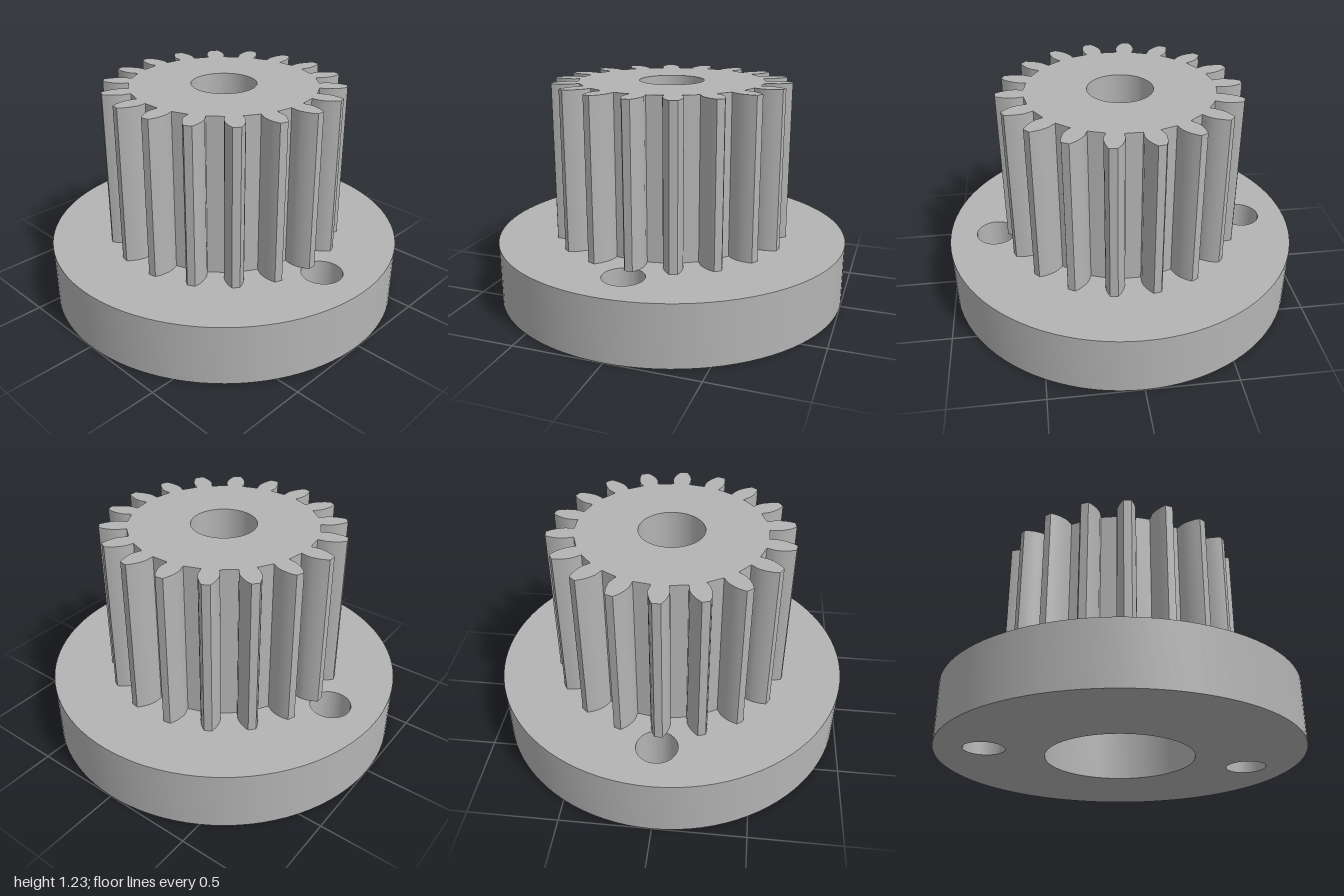
import * as THREE from 'three';
import { toCreasedNormals } from 'three/addons/utils/BufferGeometryUtils.js';

const FLANGE_TOP = 0.34, GEAR_TOP = 1.225, TEETH = 18;

// Half of one tooth, root to tip: [radius, half angle]
const FLANK = [[0.519, 0.086], [0.54, 0.09], [0.565, 0.094], [0.59, 0.087],
  [0.615, 0.074], [0.64, 0.057], [0.667, 0.032]];

function circle(x, y, r, Type = THREE.Path) {
  const path = new Type();
  path.absarc(x, y, r, 0, Math.PI * 2, false);
  return path;
}

// Extrude a plan upwards from y0 to y1, smooth on curves and sharp on edges
function upright(shape, y0, y1, name, material) {
  const flat = new THREE.ExtrudeGeometry(shape, { depth: y1 - y0, bevelEnabled: false, curveSegments: 48 });
  flat.rotateX(-Math.PI / 2).translate(0, y0, 0);
  const mesh = new THREE.Mesh(toCreasedNormals(flat, 0.4), material);
  mesh.name = name;
  return mesh;
}

export function createModel() {
  const group = new THREE.Group();
  group.name = 'flangedGear';
  const metal = new THREE.MeshStandardMaterial({ color: 0xb4b4b4 });
  metal.name = 'grey metal';

  // Round flange with a wide recess and two bolt holes
  const flange = circle(0, 0, 1, THREE.Shape);
  flange.holes.push(circle(0, 0, 0.41));
  for (const side of [-1, 1]) flange.holes.push(circle(side * 0.735, 0, 0.112));
  group.add(upright(flange, 0, FLANGE_TOP, 'flange', metal));

  // Spur gear: each tooth goes up one flank and down the other
  const points = [];
  for (let i = 0; i < TEETH; i++) {
    const mid = (i / TEETH) * Math.PI * 2;
    const add = (r, a) => points.push(new THREE.Vector2(r * Math.cos(mid + a), r * Math.sin(mid + a)));
    FLANK.forEach(([r, a]) => add(r, -a));
    [...FLANK].reverse().forEach(([r, a]) => add(r, a));
  }
  const gear = new THREE.Shape(points);
  gear.holes.push(circle(0, 0, 0.18));
  group.add(upright(gear, FLANGE_TOP, GEAR_TOP, 'gear', metal));

  return group;
}
